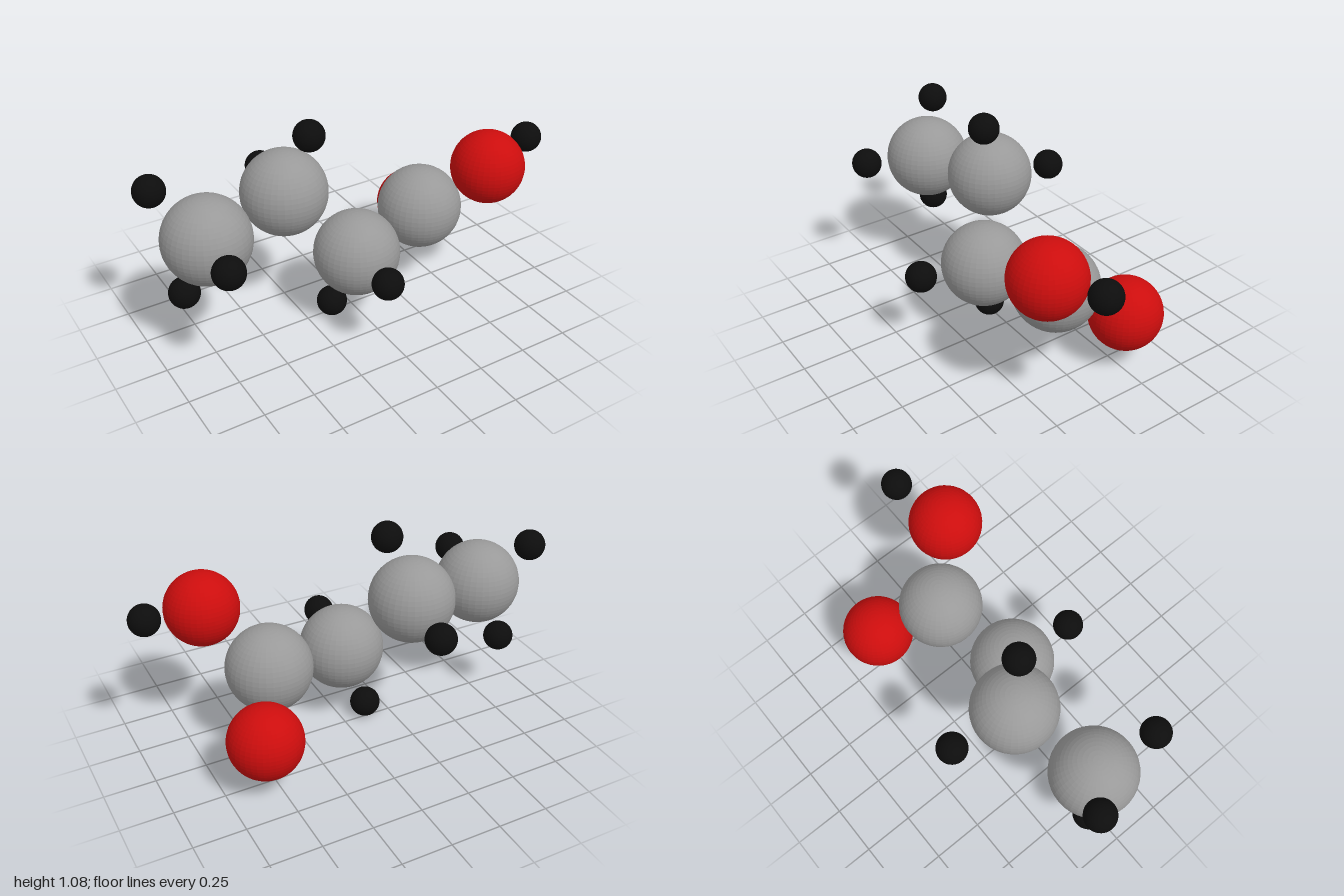
import * as THREE from 'three';

// Each kind of atom: radius, colour and the centres of its spheres
const ATOMS = {
  carbon: {
    radius: 0.209, color: 0x999999,
    at: [[-0.743, 0.635, -0.01], [-0.30, 0.695, -0.108], [-0.034, 0.388, 0.108], [0.40, 0.455, 0.004]],
  },
  oxygen: {
    radius: 0.179, color: 0xcc0d0d,
    at: [[0.63, 0.721, 0.231], [0.556, 0.278, -0.293]],
  },
  hydrogen: {
    radius: 0.075, color: 0x0d0d0d,
    at: [
      [-0.928, 0.862, -0.165], [-0.79, 0.67, 0.321], [-0.842, 0.33, -0.093], // end of the chain
      [-0.21, 1.003, -0.017], [-0.258, 0.665, -0.44],                        // second carbon
      [-0.123, 0.077, 0.02], [-0.072, 0.415, 0.439],                         // third carbon
      [0.922, 0.771, 0.162],                                                 // on the oxygen
    ],
  },
};

export function createModel() {
  const model = new THREE.Group();
  model.name = 'molecule';
  for (const [kind, { radius, color, at }] of Object.entries(ATOMS)) {
    const geometry = new THREE.SphereGeometry(radius, 40, 28);
    const material = new THREE.MeshStandardMaterial({ color, flatShading: true });
    at.forEach((centre, i) => {
      const atom = new THREE.Mesh(geometry, material);
      atom.name = `${kind}Atom${i + 1}`;
      atom.position.set(...centre);
      model.add(atom);
    });
  }
  return model;
}
